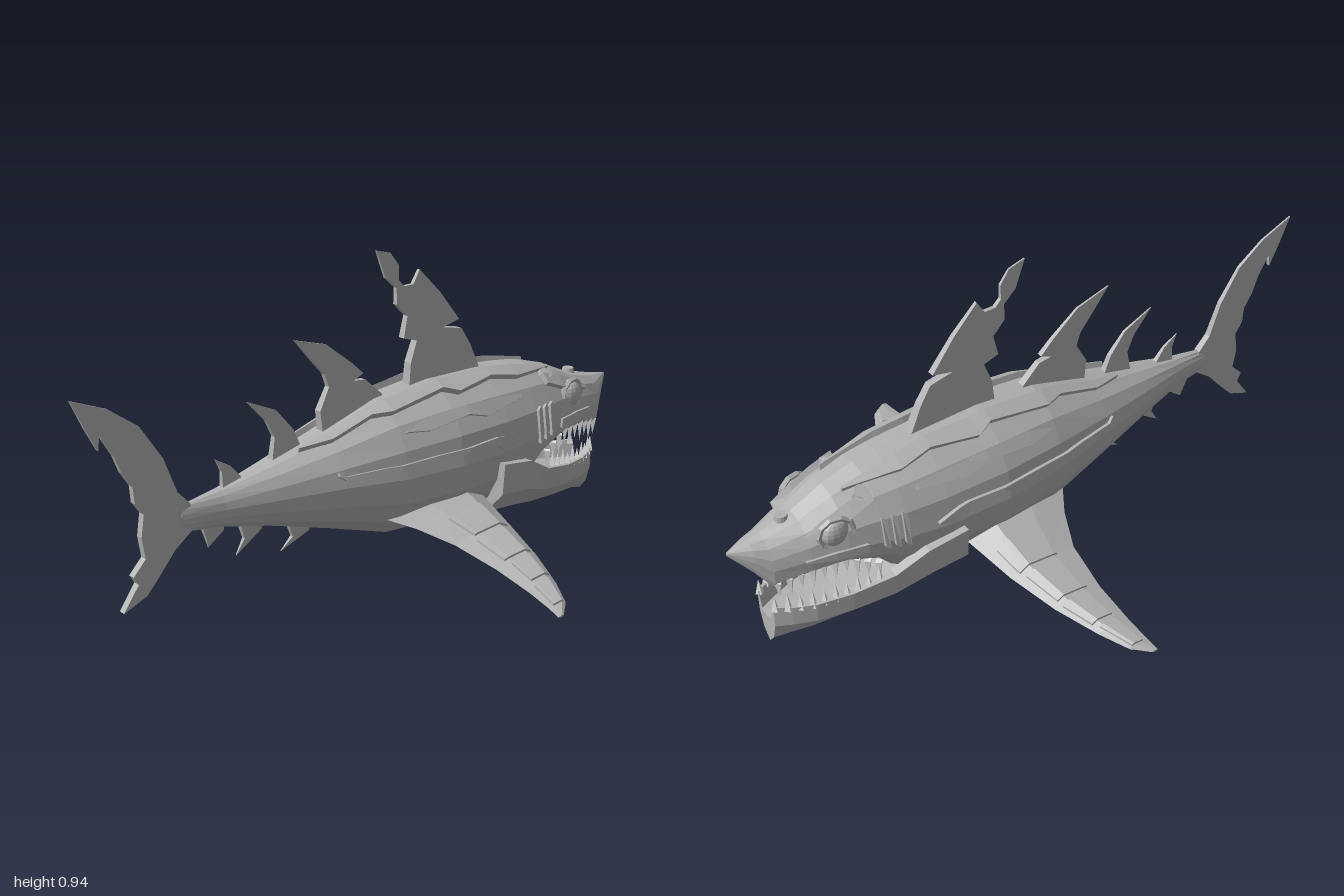
import * as THREE from 'three';

const grey = new THREE.MeshStandardMaterial({ color: 0xb2b2b2, flatShading: true });
grey.name = 'hull grey';
const white = new THREE.MeshStandardMaterial({ color: 0xeeeeee, flatShading: true });
white.name = 'tooth white';

// Body sections, tail to snout: z, top, widest height, bottom, half width, lower squareness
const BODY = [
  [0.68, 0.345, 0.307, 0.268, 0.012, 1], [0.55, 0.365, 0.31, 0.25, 0.035, 1], [0.4, 0.4, 0.31, 0.215, 0.075, 1],
  [0.2, 0.45, 0.31, 0.155, 0.125, 1], [0, 0.51, 0.3, 0.09, 0.165, 1], [-0.2, 0.53, 0.3, 0.08, 0.187, 1],
  [-0.4, 0.527, 0.3, 0.08, 0.18, 1], [-0.53, 0.515, 0.31, 0.12, 0.168, 1], [-0.6, 0.505, 0.32, 0.21, 0.155, 0.8],
  [-0.7, 0.475, 0.335, 0.268, 0.135, 0.5], [-0.8, 0.43, 0.325, 0.265, 0.108, 0.5],
  [-0.9, 0.403, 0.31, 0.238, 0.07, 0.5], [-0.94, 0.394, 0.345, 0.295, 0.045, 0.6], [-1, 0.382, 0.376, 0.37, 0.004, 1],
];
// Jaw sections: z, top, bottom, half width
const JAW = [
  [-0.355, 0.27, 0.05, 0.2], [-0.48, 0.25, 0.042, 0.19], [-0.58, 0.195, 0.036, 0.168],
  [-0.7, 0.17, 0.028, 0.138], [-0.8, 0.16, 0.02, 0.106], [-0.86, 0.158, 0.014, 0.075], [-0.905, 0.16, 0.002, 0.045],
];
// Pectoral fin sections along the span: x, leading z, trailing z, height, half thickness
const FIN = [
  [0.1, -0.33, 0.05, 0.175, 0.05], [0.19, -0.31, -0.01, 0.152, 0.04], [0.3, -0.285, -0.06, 0.122, 0.028],
  [0.45, -0.24, -0.08, 0.09, 0.02], [0.58, -0.185, -0.08, 0.064, 0.014], [0.66, -0.14, -0.075, 0.046, 0.008],
  [0.7, -0.09, -0.07, 0.036, 0.003],
];

// Interpolates a row of a section table at key k
function row(rows, k) {
  for (let i = 0; i < rows.length - 1; i++) {
    const t = (k - rows[i][0]) / (rows[i + 1][0] - rows[i][0]);
    if (t <= 1 || i === rows.length - 2) {
      const f = THREE.MathUtils.clamp(t, 0, 1);
      return rows[i].map((v, j) => v + (rows[i + 1][j] - v) * f);
    }
  }
}

// Skins closed rings of points and caps both ends
function loft(rings) {
  const n = rings[0].length, idx = [], m = rings.length - 1;
  for (let i = 0; i < m; i++) for (let j = 0; j < n; j++) {
    const a = i * n + j, b = i * n + (j + 1) % n;
    idx.push(a, a + n, b, b, a + n, b + n);
  }
  for (let j = 1; j < n - 1; j++) idx.push(0, j, j + 1, m * n, m * n + j + 1, m * n + j);
  const g = new THREE.BufferGeometry();
  g.setAttribute('position', new THREE.Float32BufferAttribute(rings.flat(2), 3));
  g.setIndex(idx);
  const flat = g.toNonIndexed();
  flat.computeVertexNormals();
  return flat;
}

// Point on the body at station z and angle a, raised by off
function onBody(z, a, off = 0) {
  const [, top, mid, bottom, w, sq] = row(BODY, z);
  const c = Math.cos(a), s = Math.sin(a), e = s < -0.001 ? sq : 1;
  return [(Math.sign(c) * Math.abs(c) ** e) * w + c * off,
    mid + (s > 0 ? top - mid : mid - bottom) * Math.sign(s) * Math.abs(s) ** e + s * off, z];
}

export function createModel() {
  const model = new THREE.Group();
  const add = (name, geo, mat = grey) => {
    const m = new THREE.Mesh(geo, mat);
    m.name = name;
    model.add(m);
    return m;
  };
  const mirrored = (rings, s) => loft(s > 0 ? rings : rings.map(r => r.map(([x, y, z]) => [-x, y, z]).reverse()));

  // Raised armour strip on both flanks; rows are z, lower angle, upper angle
  const strip = (name, rows, h = 0.01) => {
    for (const s of [1, -1]) add(name, mirrored(rows.map(([z, a, b]) =>
      [onBody(z, a, -0.015), onBody(z, a, h), onBody(z, b, h), onBody(z, b, -0.015)]), s));
  };

  // Upright blade in the centre plane, thinning towards its far end
  const blade = (name, pts, thick, y0, y1) => {
    const g = new THREE.ExtrudeGeometry(new THREE.Shape(pts.map(p => new THREE.Vector2(...p))),
      { depth: thick, bevelEnabled: false });
    g.translate(0, 0, -thick / 2).rotateY(-Math.PI / 2);
    const p = g.attributes.position;
    for (let i = 0; i < p.count; i++) {
      const t = THREE.MathUtils.clamp((p.getY(i) - y0) / (y1 - y0), 0, 1);
      p.setX(i, p.getX(i) * (1 - 0.85 * t));
    }
    g.computeVertexNormals();
    add(name, g);
  };

  // Body and upper head
  add('body', loft(BODY.map(r => Array.from({ length: 16 }, (_, j) => onBody(r[0], j / 16 * Math.PI * 2)))));

  // Lower jaw: keeled trough
  add('lowerJaw', loft(JAW.map(([z, t, b, w]) => {
    const h = t - b;
    const half = [[w * 0.6, b + h * 0.2], [w * 0.96, b + h * 0.55], [w, t], [w * 0.82, t], [w * 0.6, t - h * 0.35]];
    const pts = [[0, b], ...half, [0, t - h * 0.42], ...half.map(([x, y]) => [-x, y]).reverse()];
    return pts.map(([x, y]) => [x, y, z]);
  })));

  // Teeth along both jaws
  const tooth = (name, x, y, z, len, dir) => {
    const g = new THREE.ConeGeometry(0.013, len, 4);
    if (dir < 0) g.rotateX(Math.PI);
    g.translate(x, y + dir * (len / 2 - 0.012), z);
    add(name, g, white);
  };
  for (const s of [1, -1]) for (let i = 0; i < 10; i++) {
    const z = -0.61 - i * 0.031, u = row(BODY, z), l = row(JAW, z - 0.01), k = i % 2 ? 0.055 : 0.07;
    tooth('upperTooth', s * u[4] * 0.84, u[3] + 0.01, z, k, -1);
    tooth('lowerTooth', s * l[3] * 0.9, l[1], z - 0.01, k - 0.005, 1);
  }

  // Dorsal fins
  blade('mainDorsalFin', [[-0.016, 0.94], [-0.05, 0.855], [-0.09, 0.82], [-0.09, 0.77], [-0.13, 0.73], [-0.115, 0.665],
    [-0.165, 0.65], [-0.14, 0.585], [-0.13, 0.48], [-0.43, 0.49], [-0.38, 0.6], [-0.345, 0.655], [-0.27, 0.67],
    [-0.335, 0.685], [-0.26, 0.78], [-0.18, 0.86], [-0.155, 0.82], [-0.12, 0.82], [-0.1, 0.84], [-0.1, 0.885],
    [-0.07, 0.925]], 0.034, 0.5, 0.94);
  blade('secondDorsalFin', [[0.283, 0.733], [0.225, 0.665], [0.18, 0.615], [0.165, 0.575], [0.2, 0.51], [0.19, 0.42],
    [-0.03, 0.47], [-0.03, 0.515], [0.03, 0.57], [0.075, 0.575], [0.037, 0.59], [0.08, 0.63], [0.17, 0.7]],
    0.028, 0.47, 0.73);
  blade('thirdDorsalFin', [[0.45, 0.59], [0.385, 0.52], [0.36, 0.47], [0.375, 0.38], [0.26, 0.4], [0.295, 0.48],
    [0.35, 0.545]], 0.024, 0.4, 0.59);
  blade('fourthDorsalFin', [[0.56, 0.45], [0.54, 0.41], [0.54, 0.34], [0.46, 0.36], [0.51, 0.42]], 0.02, 0.36, 0.45);

  // Small belly fins
  for (const [z, y, b, c] of [[0.59, 0.2, 0.54, 0.27], [0.497, 0.15, 0.41, 0.24], [0.34, 0.12, 0.24, 0.19]])
    blade('bellyFin', [[z, y], [b, c - 0.03], [b, c], [b + 0.08, c + 0.02], [b + 0.06, (c + y) / 2]], 0.02, c, y);

  // Tail fin with ragged trailing edge
  blade('tailFin', [[1, 0.71], [0.96, 0.625], [0.925, 0.56], [0.92, 0.6], [0.88, 0.535], [0.86, 0.485], [0.83, 0.44],
    [0.825, 0.39], [0.8, 0.355], [0.81, 0.29], [0.8, 0.227], [0.84, 0.185], [0.825, 0.16], [0.875, 0.09],
    [0.8, 0.12], [0.76, 0.163], [0.705, 0.227], [0.65, 0.268], [0.65, 0.347], [0.69, 0.39], [0.73, 0.495],
    [0.8, 0.6], [0.89, 0.665]], 0.022, 0.35, 0.75);

  // Pectoral fins with raised panels above and below
  const onFin = (x, c, side, off) => {
    const [, lead, trail, y, t] = row(FIN, x);
    const f = c < 0.25 ? c * 4 : c < 0.65 ? 1 - (c - 0.25) * 0.75 : 2 * (1 - c);
    return [x, y + side * (t * f + off), lead + (trail - lead) * c];
  };
  const panels = [[0.22, 0.31, 0.1, 0.7], [0.33, 0.44, 0.12, 0.75], [0.46, 0.55, 0.1, 0.7], [0.57, 0.66, 0.15, 0.75]];
  for (const s of [1, -1]) {
    add('pectoralFin', mirrored(FIN.map(([x]) => [onFin(x, 1, 1, 0), onFin(x, 0.65, 1, 0), onFin(x, 0.25, 1, 0),
      onFin(x, 0, 1, 0), onFin(x, 0.25, -1, 0), onFin(x, 0.65, -1, 0)]), s));
    for (const [x0, x1, c0, c1] of panels) for (const side of [1, -1]) {
      const rings = [x0, x1].map(x => {
        const cs = [c1, 0.65, 0.25, c0];
        const r = [...cs.map(c => onFin(x, c, side, 0.006)), ...cs.reverse().map(c => onFin(x, c, side, -0.004))];
        return side > 0 ? r : r.reverse();
      });
      add('finPanel', mirrored(rings, s));
    }
  }

  // Back ridges, flank bolts and gill ribs
  strip('backRidge', [[0.3, 1.2, 1.25], [0.2, 1.05, 1.25], [0.06, 1.12, 1.3], [0, 1, 1.28], [-0.2, 1.1, 1.3],
    [-0.25, 0.98, 1.28], [-0.4, 1.1, 1.3], [-0.5, 1, 1.25], [-0.67, 1.15, 1.2]], 0.016);
  strip('flankBolt', [[0.22, 0.28, 0.36], [0.2, 0.17, 0.25], [0.08, 0.18, 0.24], [0.02, 0.14, 0.22], [-0.1, 0.17, 0.23],
    [-0.22, 0.16, 0.22], [-0.34, 0.12, 0.24], [-0.37, 0.02, 0.22], [-0.44, 0.08, 0.1]]);
  strip('shoulderPlate', [[-0.02, 0.65, 0.68], [-0.1, 0.58, 0.78], [-0.25, 0.64, 0.78], [-0.32, 0.55, 0.76],
    [-0.48, 0.66, 0.72]], 0.006);
  for (const z of [-0.53, -0.56, -0.59]) strip('gillRib', [[z, -0.1, 0.4], [z - 0.014, -0.05, 0.45]], 0.012);
  strip('brow', [[-0.61, 0.75, 0.95], [-0.68, 0.62, 0.9], [-0.75, 0.62, 0.85], [-0.81, 0.6, 0.7]], 0.018);
  strip('cheekPlate', [[-0.65, -0.1, 0.05], [-0.74, -0.08, 0.04], [-0.82, 0, 0.06]], 0.008);

  // Eyes with sockets, and head studs
  for (const s of [1, -1]) {
    const eye = add('eye', new THREE.SphereGeometry(0.042, 14, 10));
    eye.position.set(s * 0.108, 0.39, -0.727);
    eye.scale.x = 0.6;
    const socket = add('eyeSocket', new THREE.TorusGeometry(0.05, 0.009, 5, 10));
    socket.position.set(s * 0.113, 0.39, -0.727);
    socket.rotation.y = s * (Math.PI / 2 + 0.2);
    const stud = add('headStud', new THREE.CylinderGeometry(0.02, 0.025, 0.03, 12));
    stud.position.set(s * 0.085, 0.465, -0.63);
    stud.rotation.z = -s * 0.6;
  }
  add('snoutStud', new THREE.CylinderGeometry(0.018, 0.022, 0.025, 12)).position.set(0, 0.42, -0.83);
  return model;
}
